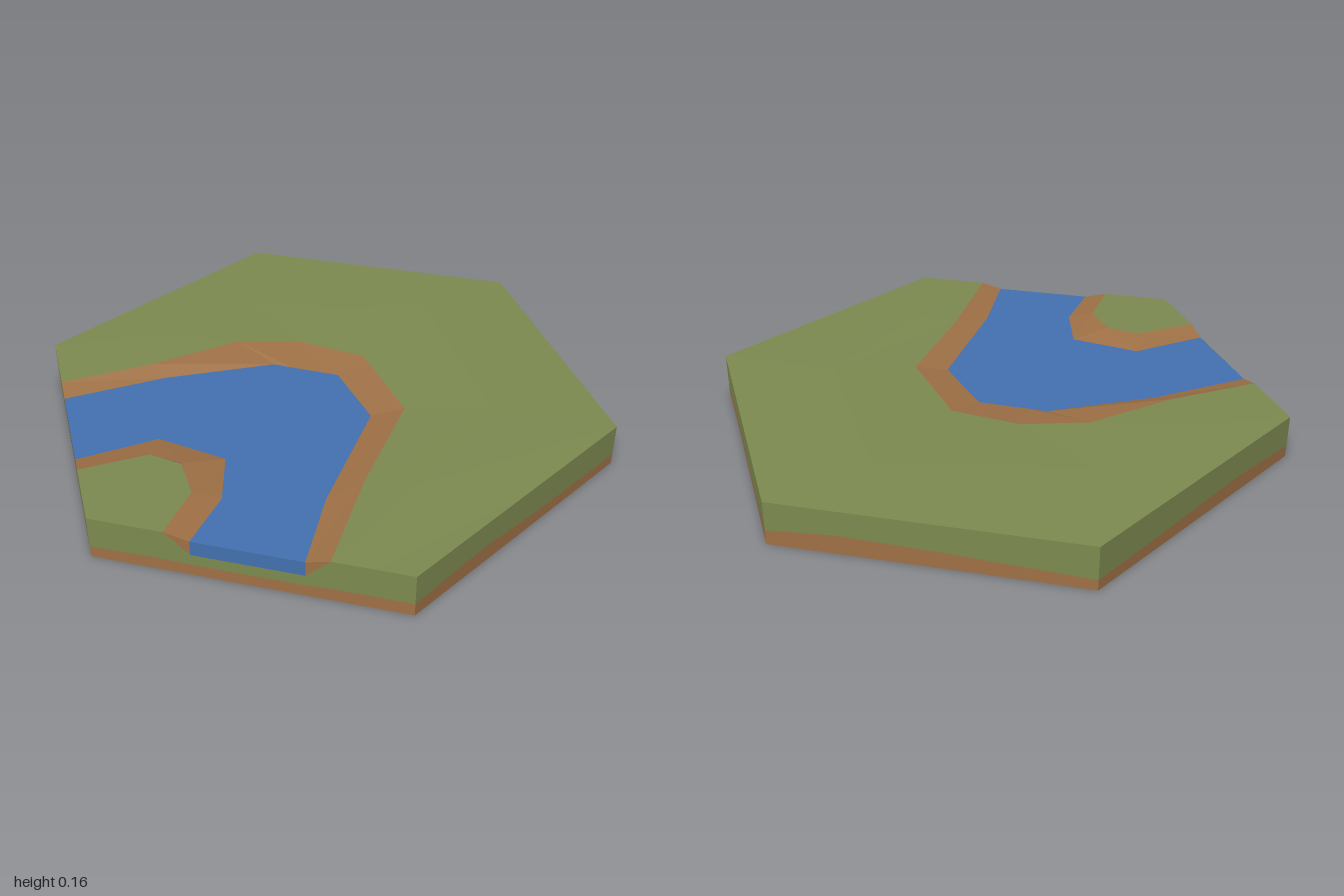
import * as THREE from 'three';

const TOP = 0.15, WATER = 0.13, BED = 0.078;

function material(name, color) {
  const m = new THREE.MeshStandardMaterial({ color, side: THREE.DoubleSide, flatShading: true });
  m.name = name;
  return m;
}

// Faceted strip between two rows of [x, y, z] points of equal length
function strip(a, b) {
  const pos = [];
  for (let i = 0; i < a.length - 1; i++) {
    pos.push(...a[i], ...b[i], ...b[i + 1], ...a[i], ...b[i + 1], ...a[i + 1]);
  }
  const g = new THREE.BufferGeometry();
  g.setAttribute('position', new THREE.Float32BufferAttribute(pos, 3));
  g.computeVertexNormals();
  return g;
}

// Level polygon from [x, z] points
function level(points, y) {
  const shape = new THREE.Shape(points.map(([x, z]) => new THREE.Vector2(x, -z)));
  return new THREE.ShapeGeometry(shape).rotateX(-Math.PI / 2).translate(0, y, 0);
}

const atHeight = (points, y) => points.map(([x, z, h]) => [x, h ?? y, z]);

export function createModel() {
  const group = new THREE.Group();
  const grass = material('grass', 0x7d8a50);
  const dirt = material('dirt', 0x9f7146);
  const water = material('water', 0x4271b0);
  const add = (name, geometry, mat) => {
    const mesh = new THREE.Mesh(geometry, mat);
    mesh.name = name;
    group.add(mesh);
  };

  // River outlines, back to front; an optional third value is a height
  const outerTop = [[-0.625, -0.65], [-0.33, -0.51, 0.153], [-0.02, -0.41, 0.153], [0.14, -0.25],
    [0.23, -0.02], [0.09, 0.3], [-0.29, 0.47], [-0.625, 0.65]];
  const outerWater = [[-0.662, -0.585], [-0.34, -0.44], [-0.01, -0.23], [0.02, -0.17],
    [0.1, -0.02], [0, 0.23], [-0.42, 0.43], [-0.662, 0.585]];
  const innerWater = [[-0.838, -0.28], [-0.58, -0.175], [-0.5, 0.06], [-0.64, 0.2], [-0.838, 0.28]];
  const innerTop = [[-0.879, -0.21], [-0.67, -0.11], [-0.63, 0, 0.152], [-0.7, 0.13], [-0.879, 0.21]];

  // Gently rolling meadow between the outer bank and the hexagon rim
  const meadow = [[-0.56, -0.762], [-0.2, -0.65, 0.157], [0.2, -0.6, 0.153], [0.42, -0.3, 0.152],
    [0.65, -0.1, 0.157], [0.3, 0.5, 0.152], [-0.2, 0.6, 0.153], [-0.56, 0.762]];
  const rim = [[-0.5, -0.866], [-0.17, -0.866], [0.5, -0.866], [0.75, -0.433],
    [1, 0], [0.5, 0.866], [0, 0.866], [-0.5, 0.866]];
  add('meadowInner', strip(atHeight(meadow, TOP), atHeight(outerTop, TOP)), grass);
  add('meadowOuter', strip(atHeight(rim, TOP), atHeight(meadow, TOP)), grass);
  add('headland', level([[-1, 0], ...[...innerTop].reverse()], TOP), grass);

  // Sloping banks and water surface
  add('outerBank', strip(atHeight(outerTop, TOP), atHeight(outerWater, WATER)), dirt);
  add('innerBank', strip(atHeight(innerWater, WATER), atHeight(innerTop, TOP)), dirt);
  add('waterSurface', level([...outerWater, ...[...innerWater].reverse()], WATER), water);

  // Plain walls: [x, z, height of the soil line], counter-clockwise from above
  const walls = {
    front: [[-0.5, 0.866, 0.045], [-0.25, 0.866, 0.058], [-0.15, 0.866, 0.058],
      [0.1, 0.866, 0.042], [0.5, 0.866, 0.036]],
    frontLeft: [[0.5, 0.866, 0.036], [0.64, 0.62, 0.038], [0.82, 0.31, 0.03], [1, 0, 0.05]],
    backLeft: [[1, 0, 0.05], [0.89, -0.19, 0.065], [0.71, -0.5, 0.055], [0.5, -0.866, 0.036]],
    back: [[0.5, -0.866, 0.036], [0.1, -0.866, 0.045], [-0.2, -0.866, 0.055], [-0.5, -0.866, 0.04]],
  };
  for (const [name, line] of Object.entries(walls)) {
    const row = (y) => line.map(([x, z, h]) => [x, y ?? h, z]);
    add(name + 'GrassWall', strip(row(TOP), row()), grass);
    add(name + 'SoilWall', strip(row(), row(0)), dirt);
  }

  // River-mouth walls, mirrored front to back: [distance along z, grass top, soil line]
  const mouth = [[0, TOP, 0.04], [0.21, TOP, 0.043], [0.28, BED, 0.04],
    [0.585, BED, 0.04], [0.65, TOP, 0.045], [0.866, TOP, 0.045]];
  for (const side of [1, -1]) {
    const name = side > 0 ? 'frontRight' : 'backRight';
    const point = (d, y) => [-1 + d * 0.5774, y, side * d];
    const wall = (upper, lower) => side > 0 ? strip(upper, lower) : strip(lower, upper);
    const tops = mouth.map(([d, t]) => point(d, t));
    const soil = mouth.map(([d, , s]) => point(d, s));
    const base = mouth.map(([d]) => point(d, 0));
    add(name + 'GrassWall', wall(tops, soil), grass);
    add(name + 'SoilWall', wall(soil, base), dirt);
    add(name + 'WaterFace', wall([point(0.28, WATER), point(0.585, WATER)],
      [point(0.28, BED), point(0.585, BED)]), water);
    // Cut ends of the banks beside the water
    for (const [edge, shore] of [[0.21, 0.28], [0.65, 0.585]]) {
      const upper = [point(edge, TOP), point(shore, WATER)];
      const lower = [point(edge, TOP - 0.001), point(shore, BED)];
      add(name + 'BankEnd', edge < shore ? wall(upper, lower) : wall(lower, upper), dirt);
    }
  }
  return group;
}
